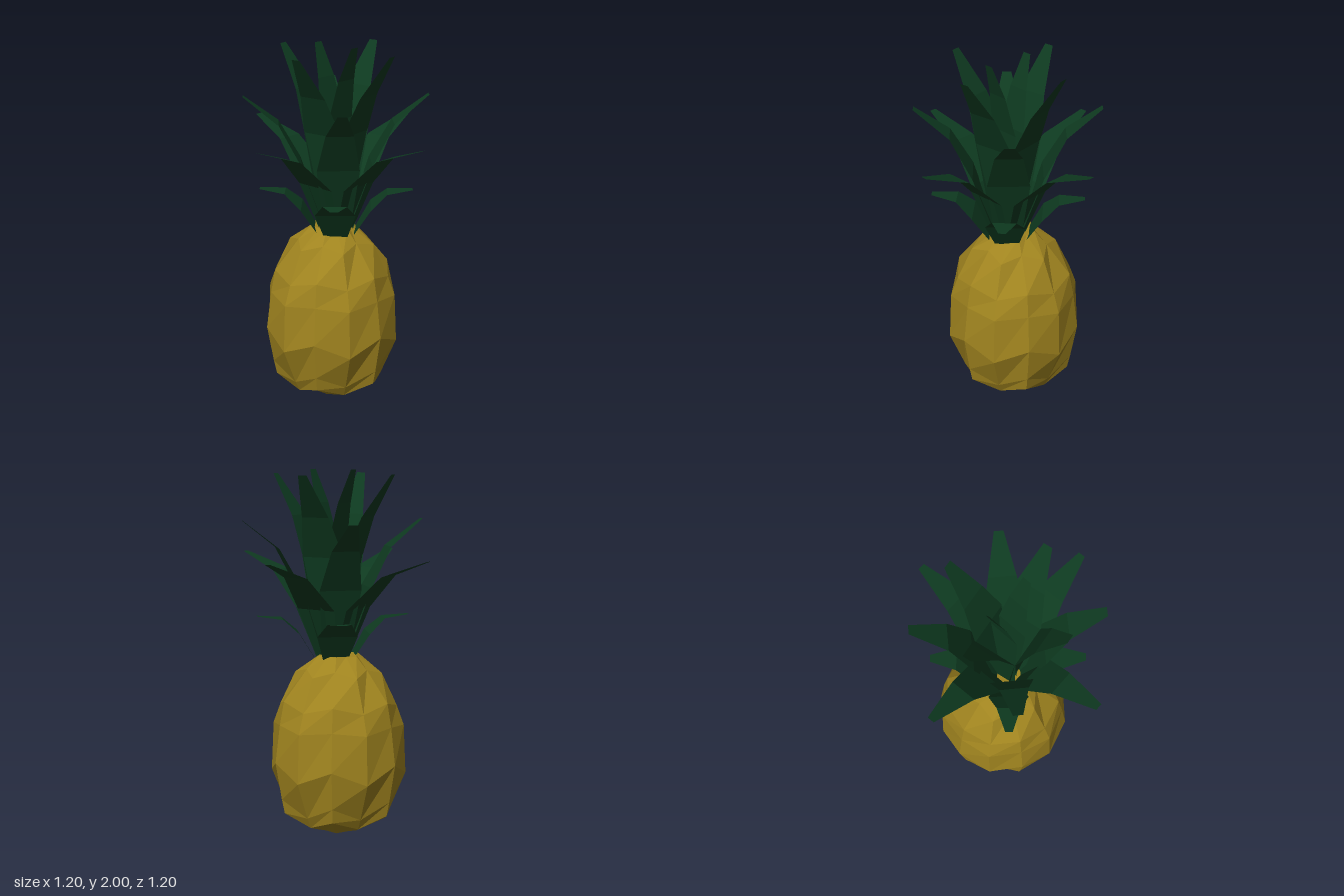
import * as THREE from 'three';

const skin = new THREE.MeshStandardMaterial({ color: 0xa0841f, flatShading: true });
const leafGreen = new THREE.MeshStandardMaterial({ color: 0x0e3a20, flatShading: true, side: THREE.DoubleSide });

// Joins rows of points into a faceted surface; closed wraps each row round
function loft(rows, closed) {
  const n = rows[0].length, index = [];
  for (let j = 0; j < rows.length - 1; j++) {
    for (let i = 0; i < (closed ? n : n - 1); i++) {
      const a = j * n + i, b = j * n + (i + 1) % n;
      index.push(a, a + n, b, b, a + n, b + n);
    }
  }
  const geo = new THREE.BufferGeometry();
  geo.setAttribute('position', new THREE.Float32BufferAttribute(rows.flat(2), 3));
  geo.setIndex(index);
  geo.computeVertexNormals();
  return geo;
}

// Fruit: twelve columns, whose even and odd corners zigzag in height
function createFruit() {
  const sides = 12;
  // [even height, even radius, odd height, odd radius]
  const profile = [
    [0.01, 0, 0.01, 0],
    [0, 0.12, 0.01, 0.12],
    [0.12, 0.325, 0.06, 0.26],
    [0.2, 0.342, 0.12, 0.29],
    [0.41, 0.378, 0.33, 0.376],
    [0.62, 0.351, 0.6, 0.364],
    [0.75, 0.326, 0.71, 0.324],
    [0.92, 0.19, 0.89, 0.24],
    [0.99, 0.12, 0.99, 0.1],
    [0.98, 0, 0.98, 0],
  ];
  const rows = profile.map((p) => Array.from({ length: sides }, (_, i) => {
    const [y, r] = i % 2 ? p.slice(2) : p;
    const a = (i / sides) * Math.PI * 2;
    return [Math.cos(a) * r, y, Math.sin(a) * r];
  }));
  const fruit = new THREE.Mesh(loft(rows, true), skin);
  fruit.name = 'fruit';
  fruit.position.set(-0.04, 0, -0.005);
  return fruit;
}

// Leaf tiers: each path point is [distance out, height, width]
const tiers = [
  { name: 'lowerLeaf', count: 4, turn: 47,
    path: [[0.1, 0.96, 0.13], [0.19, 1.11, 0.22], [0.28, 1.19, 0.13], [0.42, 1.205, 0.04]] },
  { name: 'outerLeaf', count: 4, turn: -2,
    path: [[0.06, 0.97, 0.14], [0.165, 1.25, 0.24], [0.355, 1.44, 0.15], [0.6, 1.53, 0.04]] },
  { name: 'middleLeaf', count: 4, turn: 42,
    path: [[0.06, 0.97, 0.14], [0.19, 1.36, 0.23], [0.31, 1.58, 0.15], [0.5, 1.73, 0.05]] },
  { name: 'upperLeaf', count: 4, turn: -9,
    path: [[0.04, 0.97, 0.14], [0.12, 1.53, 0.25], [0.21, 1.75, 0.16], [0.355, 1.975, 0.05]] },
  { name: 'centreLeaf', count: 2, turn: 0,
    path: [[0.01, 0.97, 0.1], [0.03, 1.6, 0.18], [0.075, 1.82, 0.12], [0.135, 2, 0.05]] },
];

export function createModel() {
  const model = new THREE.Group();
  model.name = 'pineapple';
  model.add(createFruit());

  const crown = new THREE.Group();
  crown.name = 'crown';
  for (const { name, count, turn, path } of tiers) {
    const geo = loft(path.map(([r, y, w]) => [[r, y, -w / 2], [r, y, w / 2]]), false);
    for (let i = 0; i < count; i++) {
      const leaf = new THREE.Mesh(geo, leafGreen);
      leaf.name = name;
      leaf.rotation.y = -THREE.MathUtils.degToRad(turn + (i * 360) / count);
      crown.add(leaf);
    }
  }
  model.add(crown);
  return model;
}
